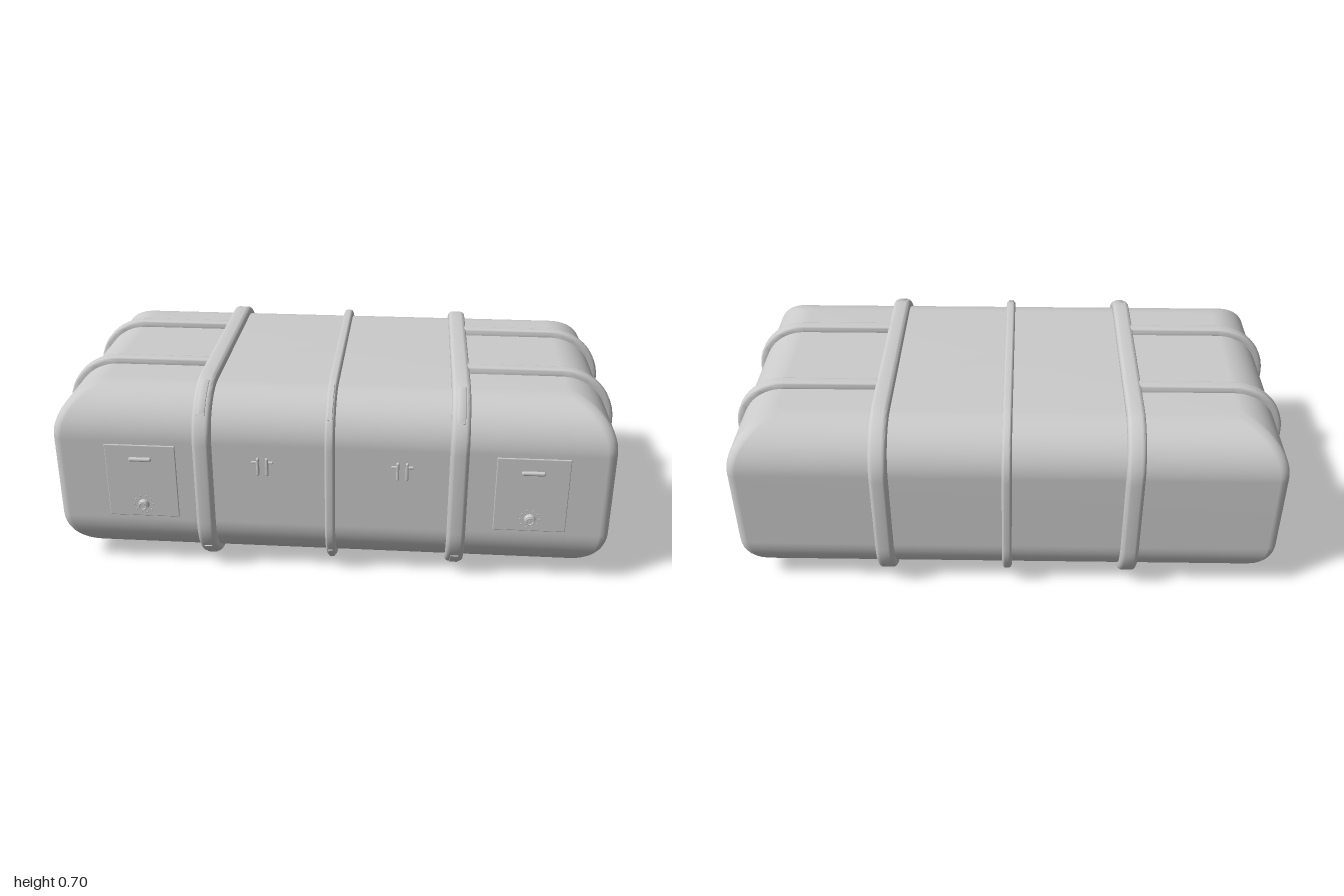
import * as THREE from 'three';
import { toCreasedNormals } from 'three/addons/utils/BufferGeometryUtils.js';
import { RoundedBoxGeometry } from 'three/addons/geometries/RoundedBoxGeometry.js';

const HX = 0.975, HY = 0.322, HZ = 0.52, R = 0.17, MID = 0.35;
const material = new THREE.MeshStandardMaterial({ color: 0xcccccc });
const rad = THREE.MathUtils.degToRad;

function add(parent, name, geometry, x = 0, y = 0, z = 0) {
  const mesh = new THREE.Mesh(geometry, material);
  mesh.name = name;
  mesh.position.set(x, y, z);
  parent.add(mesh);
  return mesh;
}

// Points along the rounded corners of an a-by-b half-size rectangle, pushed out by off
function outline(a, b, r, off, from, to, quadrants, segs = 12) {
  const points = [];
  for (const k of quadrants) {
    const sx = k === 0 || k === 3 ? 1 : -1, sy = k < 2 ? 1 : -1;
    for (let i = 0; i <= segs; i++) {
      const t = rad(k * 90 + from + ((to - from) * i) / segs);
      points.push(new THREE.Vector2(sx * (a - r) + (r + off) * Math.cos(t), sy * (b - r) + (r + off) * Math.sin(t)));
    }
  }
  return points;
}

// Rounded strip extruded from a shape, centred on its width
function extrudeStrip(shape, width, bevel) {
  const depth = width - 2 * bevel;
  const g = new THREE.ExtrudeGeometry(shape, {
    depth, bevelSize: bevel, bevelThickness: bevel, bevelSegments: 4, curveSegments: 1,
  });
  g.translate(0, 0, -depth / 2);
  return toCreasedNormals(g, rad(40));
}

// Closed hoop around the z-y section
function hoop(width, height, bevel) {
  const shape = new THREE.Shape(outline(HZ, HY, R, height - bevel, 0, 90, [0, 1, 2, 3]));
  shape.holes.push(new THREE.Path(outline(HZ, HY, R, -0.012 + bevel * 0.5, 0, 90, [0, 1, 2, 3]).reverse()));
  return extrudeStrip(shape, width, bevel).rotateY(-Math.PI / 2);
}

// Open U strap that runs along the bottom, over the end and back along the top
function endStrap(width, height, bevel) {
  const x0 = 0.45;
  const side = (off) => [
    new THREE.Vector2(x0, -HY - off), ...outline(HX, HY, R, off, 0, 90, [3, 0]), new THREE.Vector2(x0, HY + off),
  ];
  const shape = new THREE.Shape([...side(height - bevel), ...side(-0.006).reverse()]);
  return extrudeStrip(shape, width, bevel);
}

// Short plate that follows a front corner of a hoop
function clasp(width, height, quadrant, from, to) {
  const edge = (off) => outline(HZ, HY, R, off, from, to, [quadrant], 8);
  const shape = new THREE.Shape([...edge(height), ...edge(height - 0.012).reverse()]);
  return extrudeStrip(shape, width, 0.003).rotateY(-Math.PI / 2);
}

// Body: stacked rectangular loops, inset along a quarter circle at top and bottom
function bodyGeometry() {
  const rows = [], segs = 14, corner = 0.035, cornerSegs = 5;
  for (let i = 0; i <= segs; i++) {
    const t = (i / segs) * Math.PI / 2;
    rows.push([-HY + R * (1 - Math.cos(t)), R * (1 - Math.sin(t))]);
  }
  for (let i = segs; i >= 0; i--) rows.push([-rows[i][0], rows[i][1]]);
  const position = [], index = [];
  let n = 0;
  for (const [y, inset] of rows) {
    const loop = outline(HX - inset, HZ - inset, corner, 0, 0, 90, [0, 1, 2, 3], cornerSegs);
    n = loop.length;
    for (const p of loop) position.push(p.x, y, p.y);
  }
  for (let i = 0; i < rows.length - 1; i++) {
    for (let j = 0; j < n; j++) {
      const k = (j + 1) % n;
      const a = i * n + j, b = i * n + k, c = (i + 1) * n + k, d = (i + 1) * n + j;
      index.push(a, d, c, a, c, b);
    }
  }
  const bottom = position.length / 3, last = (rows.length - 1) * n;
  position.push(0, -HY, 0, 0, HY, 0);
  for (let j = 0; j < n; j++) {
    const k = (j + 1) % n;
    index.push(bottom, j, k, bottom + 1, last + k, last + j);
  }
  const g = new THREE.BufferGeometry();
  g.setAttribute('position', new THREE.Float32BufferAttribute(position, 3));
  g.setIndex(index);
  g.computeVertexNormals();
  return g;
}

// Front access door with a bar handle and a round lock
function frontDoor() {
  const door = new THREE.Group();
  door.name = 'frontDoor';
  add(door, 'doorPanel', new RoundedBoxGeometry(0.25, 0.28, 0.008, 2, 0.003), 0, 0.35, HZ);
  add(door, 'doorHandle', new RoundedBoxGeometry(0.08, 0.014, 0.016, 2, 0.006), 0, 0.437, HZ + 0.007);
  add(door, 'lockBase', new THREE.CylinderGeometry(0.018, 0.02, 0.022, 24).rotateX(Math.PI / 2), 0, 0.258, HZ + 0.01);
  add(door, 'lockRing', new THREE.TorusGeometry(0.013, 0.003, 8, 24), 0, 0.258, HZ + 0.021);
  for (let i = 0; i < 10; i++) {
    const t = (i / 10) * Math.PI * 2;
    add(door, 'lockStud', new THREE.SphereGeometry(0.003, 8, 6), 0.033 * Math.cos(t), 0.258 + 0.033 * Math.sin(t), HZ + 0.004);
  }
  return door;
}

// Pair of upright latch bars with outward tabs
function latch() {
  const group = new THREE.Group();
  group.name = 'latch';
  for (const s of [-1, 1]) {
    add(group, 'latchBar', new RoundedBoxGeometry(0.01, 0.066, 0.014, 2, 0.004), s * 0.016, 0.424, HZ + 0.003);
    add(group, 'latchTab', new RoundedBoxGeometry(0.022, 0.008, 0.01, 2, 0.003), s * 0.027, 0.44, HZ + 0.002);
  }
  return group;
}

export function createModel() {
  const model = new THREE.Group();
  model.name = 'strappedCase';
  add(model, 'body', bodyGeometry(), 0, MID, 0);

  // Hoops around the body, each with clasps at the front corners
  for (const [x, width, bevel, height] of [[-0.443, 0.065, 0.016, 0.028], [0, 0.035, 0.014, 0.026], [0.443, 0.065, 0.016, 0.028]]) {
    add(model, 'hoop', hoop(width, height, bevel), x, MID, 0);
    const claspWidth = x ? 0.03 : 0.018;
    add(model, 'upperClasp', clasp(claspWidth, height, 0, 33, 74), x, MID, 0);
    add(model, 'lowerClasp', clasp(claspWidth, height, 3, 18, 57), x, MID, 0);
  }

  // Straps over both ends
  for (const z of [-0.2, 0.2]) {
    add(model, 'leftEndStrap', endStrap(0.045, 0.025, 0.014), 0, MID, z);
    add(model, 'rightEndStrap', endStrap(0.045, 0.025, 0.014), 0, MID, z).rotation.y = Math.PI;
  }

  // Front fittings
  for (const x of [-0.665, 0.695]) {
    const door = frontDoor();
    door.position.x = x;
    model.add(door);
  }
  for (const x of [-0.235, 0.25]) {
    const pair = latch();
    pair.position.x = x;
    model.add(pair);
  }
  return model;
}
